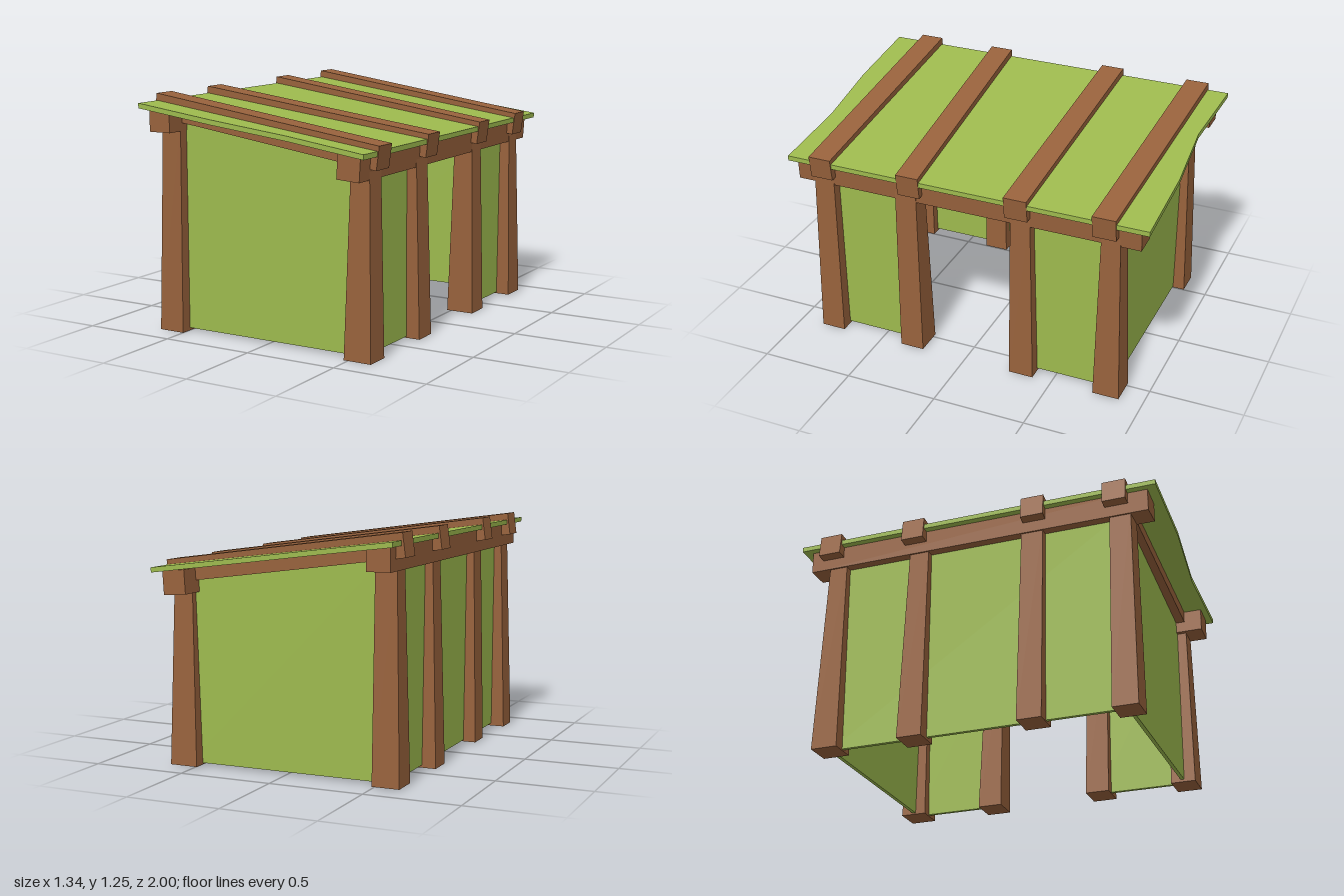
import * as THREE from 'three';

const wood = new THREE.MeshStandardMaterial({ color: 0x98623c, flatShading: true });
const panel = new THREE.MeshStandardMaterial({ color: 0x9dba4e, flatShading: true });

// Box whose unit corners (-0.5..0.5) are moved by a rule.
function shapedBox(name, material, rule) {
  const g = new THREE.BoxGeometry(1, 1, 1);
  const p = g.attributes.position;
  for (let i = 0; i < p.count; i++) {
    p.setXYZ(i, ...rule(p.getX(i), p.getY(i), p.getZ(i)));
  }
  g.computeVertexNormals();
  const mesh = new THREE.Mesh(g, material);
  mesh.name = name;
  return mesh;
}

// Tapered, leaning post: bottom and top are [x0, x1, z0, z1].
function post(name, bottom, top, y0, y1) {
  return shapedBox(name, wood, (x, y, z) => {
    const r = y < 0 ? bottom : top;
    return [x < 0 ? r[0] : r[1], y < 0 ? y0 : y1, z < 0 ? r[2] : r[3]];
  });
}

function beam(name, size, position, tilt = 0) {
  const mesh = new THREE.Mesh(new THREE.BoxGeometry(...size), wood);
  mesh.name = name;
  mesh.position.set(...position);
  mesh.rotation.z = tilt;
  return mesh;
}

function wall(name, size, position) {
  const mesh = new THREE.Mesh(new THREE.BoxGeometry(...size), panel);
  mesh.name = name;
  mesh.position.set(...position);
  return mesh;
}

export function createModel() {
  const group = new THREE.Group();
  const slope = -0.13; // roof fall per unit of x
  const roofY = (x) => 1.112 + slope * x;

  // Posts: z ranges at bottom and top, shared by the high and low sides
  const postZ = [
    [0.732, 0.866, 0.743, 0.855],
    [0.244, 0.375, 0.265, 0.383],
    [-0.394, -0.26, -0.367, -0.26],
    [-0.875, -0.732, -0.842, -0.743],
  ];
  postZ.forEach(([b0, b1, t0, t1], i) => {
    const s = i % 2 ? 0.006 : 0;
    group.add(post('highPost' + (i + 1), [-0.645 + s, -0.5 + s, b0, b1], [-0.61, -0.497, t0, t1], s, 1.1));
    group.add(post('lowPost' + (i + 1), [0.477 + s, 0.629 + s, b0, b1], [0.51, 0.614, t0, t1], s, 0.94));
  });

  // Long beams on top of the posts
  group.add(beam('highBeam', [0.125, 0.125, 1.9], [-0.557, 1.123, 0]));
  group.add(beam('lowBeam', [0.125, 0.125, 1.9], [0.553, 0.964, 0], -0.06));

  // Rafters: z centre at the high end and at the low end
  [[-0.825, -0.77], [-0.335, -0.305], [0.34, 0.288], [0.782, 0.792]].forEach(([za, zb], i) => {
    group.add(shapedBox('rafter' + (i + 1), wood, (x, y, z) => [
      (x < 0 ? -0.662 : 0.657) + y * 0.016,
      (x < 0 ? 1.187 : 1.005) + y * 0.12,
      (x < 0 ? za : zb) + z * 0.124,
    ]));
  });

  // Roof sheet with slightly uneven ends
  const outline = [
    [-0.65, 1], [-0.2, 1], [0.22, 0.97], [0.655, 0.985],
    [0.655, -1], [0.2, -1], [-0.22, -0.968], [-0.65, -1],
  ];
  const roofShape = new THREE.Shape(outline.map(([x, z]) => new THREE.Vector2(x, -z)));
  const roofGeo = new THREE.ExtrudeGeometry(roofShape, { depth: 0.026, bevelEnabled: false });
  roofGeo.rotateX(-Math.PI / 2);
  const rp = roofGeo.attributes.position;
  for (let i = 0; i < rp.count; i++) rp.setY(i, rp.getY(i) + roofY(rp.getX(i)) - 0.013);
  roofGeo.computeVertexNormals();
  const roof = new THREE.Mesh(roofGeo, panel);
  roof.name = 'roof';
  group.add(roof);

  // End walls with sloping tops that tuck into the rafters
  for (const [name, zc] of [['frontWall', 0.795], ['backWall', -0.8]]) {
    group.add(shapedBox(name, panel, (x, y, z) => {
      const px = x < 0 ? -0.565 : 0.56;
      return [px, y < 0 ? 0.014 : roofY(px) - 0.03, zc + z * 0.02];
    }));
  }

  // Solid wall on the high side
  group.add(wall('highSideWall', [0.02, 1.086, 1.6], [-0.56, 0.557, 0]));

  // Low side: a panel on each side of the open middle bay
  for (const [name, z0, z1] of [['lowWallFront', 0.31, 0.8], ['lowWallBack', -0.8, -0.32]]) {
    group.add(wall(name, [0.02, 0.936, z1 - z0], [0.55, 0.482, (z0 + z1) / 2]));
  }

  return group;
}
